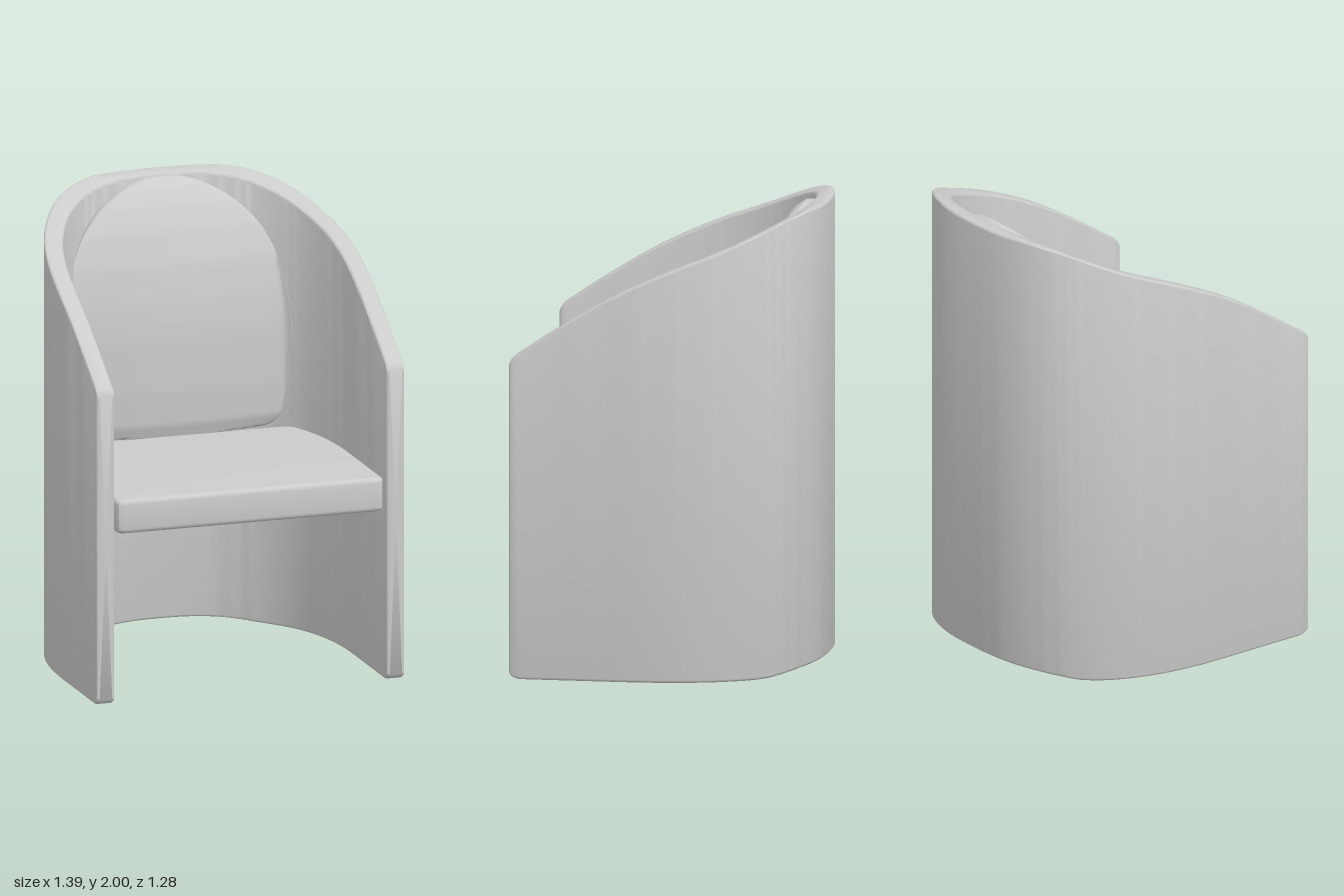
import * as THREE from 'three';
import { toCreasedNormals } from 'three/addons/utils/BufferGeometryUtils.js';

const N = 2.5;      // roundness of the horseshoe plan
const ZC = 0.2;     // where the straight sides meet the curved back
const material = new THREE.MeshStandardMaterial({ color: 0xcccccc, side: THREE.DoubleSide });

// Linear lookup in a list of [position, value] with rising positions
function lookup(table, p) {
  if (p <= table[0][0]) return table[0][1];
  for (let i = 1; i < table.length; i++) {
    const [p0, v0] = table[i - 1], [p1, v1] = table[i];
    if (p <= p1) return v0 + (v1 - v0) * (p - p0) / (p1 - p0);
  }
  return table[table.length - 1][1];
}

// Skin closed rings of equal size and close both ends with fans
function loft(rings, crease) {
  const n = rings[0].length, pos = [], index = [];
  rings.forEach(r => r.forEach(p => pos.push(...p)));
  for (let i = 0; i < rings.length - 1; i++) {
    for (let j = 0; j < n; j++) {
      const a = i * n + j, b = i * n + (j + 1) % n;
      index.push(a, a + n, b, b, a + n, b + n);
    }
  }
  [0, rings.length - 1].forEach((i, end) => {
    const c = pos.length / 3;
    pos.push(...[0, 1, 2].map(k => rings[i].reduce((s, p) => s + p[k], 0) / n));
    for (let j = 0; j < n; j++) {
      const a = i * n + j, b = i * n + (j + 1) % n;
      if (end) index.push(c, b, a); else index.push(c, a, b);
    }
  });
  const g = new THREE.BufferGeometry();
  g.setAttribute('position', new THREE.Float32BufferAttribute(pos, 3));
  g.setIndex(index);
  return toCreasedNormals(g, crease);
}

// Heights of the shell's sloping rim and its foot, from front to back
const rim = [[-0.6, 2], [-0.55, 1.985], [-0.5, 1.965], [-0.4, 1.92], [-0.3, 1.875], [-0.2, 1.835],
  [-0.1, 1.797], [0, 1.755], [0.1, 1.71], [0.2, 1.66], [0.3, 1.603], [0.4, 1.54], [0.5, 1.475],
  [0.59, 1.413], [0.61, 1.4], [0.625, 1.385], [0.635, 1.36]];
const foot = [[-0.64, 0.035], [-0.57, 0.025], [-0.46, 0.003], [-0.4, 0], [0.59, 0], [0.61, 0.005],
  [0.625, 0.014], [0.635, 0.03]];

function shellGeometry() {
  const r = 0.012, thick = 0.08, front = 0.635;
  // Stations: a signed side, a z on the straight run or an angle round the back, and an inset
  const start = [];
  for (let i = 0; i <= 4; i++) {
    const a = (1 - i / 4) * Math.PI / 2;
    start.push({ z: front - r + r * Math.sin(a), inset: r * (1 - Math.cos(a)) });
  }
  for (const z of [0.61, 0.59, 0.5, 0.4, 0.3]) start.push({ z, inset: 0 });
  const stations = start.map(s => ({ ...s, side: 1 }));
  for (let i = 0; i <= 80; i++) stations.push({ t: Math.PI * i / 80, inset: 0 });
  stations.push(...start.map(s => ({ ...s, side: -1 })).reverse());

  // Rounded rectangle: d = distance from inner face, v = inset from rim or foot
  const section = [];
  [[1, 0, -90], [1, 1, 0], [0, 1, 90], [0, 0, 180]].forEach(([out, top, deg]) => {
    for (let i = 0; i <= 3; i++) {
      const a = (deg + i * 30) * Math.PI / 180;
      section.push({
        d: (out ? thick - r : r) + r * Math.cos(a),
        v: (top ? -r : r) + r * Math.sin(a), top,
      });
    }
  });

  return loft(stations.map(s => section.map(({ d, v, top }) => {
    const e = Math.min(Math.max(d, s.inset), thick - s.inset);
    const a = 0.613 + e, b = 0.763 + e;
    let x = a * s.side, z = s.z;
    if (s.t !== undefined) {
      const c = Math.cos(s.t);
      x = a * Math.sign(c) * Math.abs(c) ** (2 / N);
      z = ZC - b * Math.abs(Math.sin(s.t)) ** (2 / N);
    }
    return [x, lookup(top ? rim : foot, z) + v, z];
  })), 0.7);
}

function seatGeometry() {
  // Half outline following the inner wall, then a rounded back corner
  const bevel = 0.022, half = [];
  half.push([0.565, 0.638 - bevel], [0.576, 0.612]);
  for (let i = 0; i <= 24; i++) {
    const z = 0.6 - 0.88 * i / 24;
    const k = z > ZC ? 1 : (1 - ((ZC - z) / 0.755) ** N) ** (1 / N);
    half.push([0.581 * k, z]);
  }
  half.push([0.482, -0.292], [0.465, -0.3]);
  const outline = [...half, ...half.map(([x, z]) => [-x, z]).reverse()];
  const shape = new THREE.Shape(outline.map(([x, z]) => new THREE.Vector2(x, -z)));
  const g = new THREE.ExtrudeGeometry(shape, {
    depth: 0.15 - 2 * bevel, bevelEnabled: true, bevelSize: bevel,
    bevelThickness: bevel, bevelSegments: 4,
  });
  g.rotateX(-Math.PI / 2).translate(0, 0.75 + bevel, 0);
  return toCreasedNormals(g, 0.7);
}

function cushionGeometry() {
  // Side outline as half width and height
  const outline = new THREE.SplineCurve([[0.38, 0.893], [0.43, 0.9], [0.47, 0.945], [0.485, 1.03],
    [0.5, 1.2], [0.502, 1.4], [0.472, 1.6], [0.43, 1.72], [0.375, 1.805], [0.29, 1.885],
    [0.18, 1.95], [0.09, 1.978], [0.02, 1.986]].map(p => new THREE.Vector2(...p)));
  const lean = [[0.89, 0.03], [0.95, 0.01], [1.1, 0], [1.35, 0], [1.5, 0.015], [1.65, 0.045],
    [1.78, 0.09], [1.88, 0.14], [1.95, 0.19], [1.986, 0.24]];
  const rings = outline.getPoints(60).map(({ x: w, y }) => {
    const ring = [];
    for (let j = 0; j < 64; j++) {
      const t = 2 * Math.PI * j / 64, c = Math.cos(t), s = Math.sin(t);
      const x = w * Math.sign(c) * Math.abs(c) ** 0.75;
      // Back lies against the inner wall, front is gently bowed and leans back at the top
      const back = ZC - 0.768 * (1 - (Math.abs(x) / 0.61) ** N) ** (1 / N);
      const face = Math.max(-0.29 - 0.18 * x * x - lookup(lean, y), back + 0.02);
      const mid = (face + back) / 2, h = (face - back) / 2;
      ring.push([x, y, mid + h * Math.sign(s) * Math.abs(s) ** 0.4]);
    }
    return ring;
  });
  return loft(rings, 1);
}

export function createModel() {
  const chair = new THREE.Group();
  chair.name = 'tubChair';
  const add = (name, geometry) => {
    const mesh = new THREE.Mesh(geometry, material);
    mesh.name = name;
    chair.add(mesh);
  };
  add('shell', shellGeometry());
  add('seat', seatGeometry());
  add('backCushion', cushionGeometry());
  return chair;
}
